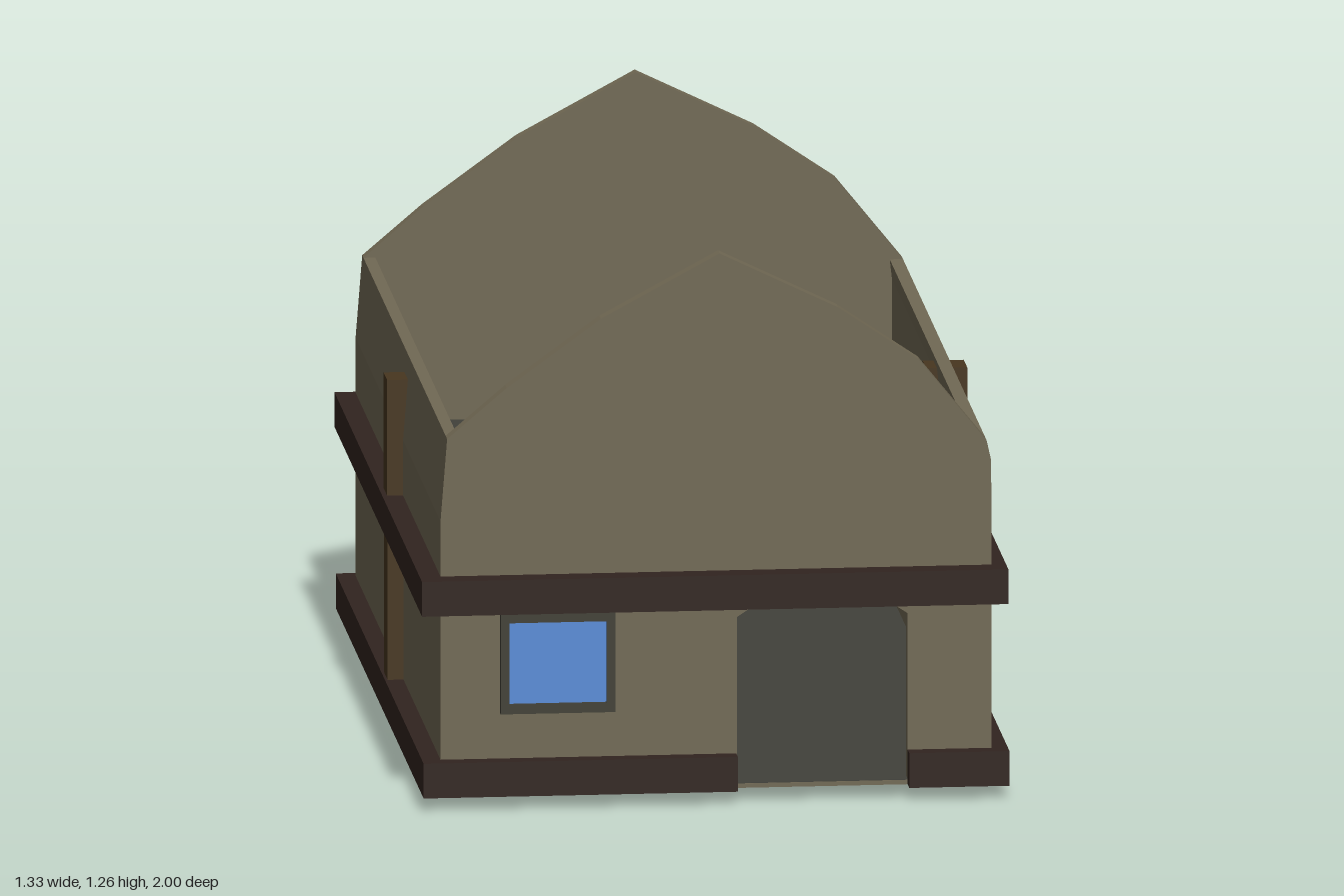
import * as THREE from 'three';

const mat = (color) => new THREE.MeshStandardMaterial({ color, flatShading: true });

export function createModel() {
  const house = new THREE.Group();
  const wallMat = mat(0x716954), beamMat = mat(0x31241f), postMat = mat(0x47361f);
  const floorMat = mat(0x41413a), frameMat = mat(0x403f35), glassMat = mat(0x5a8cd8);

  const add = (name, geo, material, parent = house) => {
    const mesh = new THREE.Mesh(geo, material);
    mesh.name = name;
    parent.add(mesh);
    return mesh;
  };
  // Box given by its limits on each axis
  const box = (name, material, x0, x1, y0, y1, z0, z1, parent) => {
    const mesh = add(name, new THREE.BoxGeometry(x1 - x0, y1 - y0, z1 - z0), material, parent);
    mesh.position.set((x0 + x1) / 2, (y0 + y1) / 2, (z0 + z1) / 2);
  };
  const points = (list) => list.map(([x, y]) => new THREE.Vector2(x, y));
  const slab = (name, material, outline, z0, z1, holes = []) => {
    const shape = new THREE.Shape(points(outline));
    holes.forEach((h) => shape.holes.push(new THREE.Path(points(h))));
    const geo = new THREE.ExtrudeGeometry(shape, { depth: z1 - z0, bevelEnabled: false });
    return add(name, geo.translate(0, 0, z0), material);
  };

  // Gable walls: one outline, with openings for door and windows
  const gable = [
    [-0.62, 0.03], [0.628, 0.03], [0.628, 0.65], [0.627, 0.775], [0.617, 0.82], [0.464, 1.01],
    [0.28, 1.135], [0.012, 1.265], [-0.257, 1.12], [-0.47, 0.965], [-0.605, 0.85], [-0.62, 0.66],
  ];
  const door = [[0.052, 0.04], [0.438, 0.04], [0.438, 0.425], [0.4, 0.45], [0.09, 0.45], [0.052, 0.425]];
  const rect = (x0, x1, y0, y1) => [[x0, y0], [x1, y0], [x1, y1], [x0, y1]];
  const paneHole = (x) => rect(x - 0.111, x + 0.111, 0.237, 0.425);
  const leftX = 0.363, rightX = -0.355;
  slab('frontWall', wallMat, gable, 0.912, 0.946, [door, paneHole(rightX)]);
  slab('backWall', wallMat, gable, -0.971, -0.943, [paneHole(leftX), paneHole(rightX)]);

  // Side walls lean in slightly at the top
  slab('leftWall', wallMat, [
    [0.592, 0.03], [0.628, 0.03], [0.628, 0.65], [0.627, 0.775], [0.617, 0.82], [0.587, 0.82], [0.592, 0.775],
  ], -0.943, 0.912);
  slab('rightWall', wallMat, [
    [-0.62, 0.03], [-0.588, 0.03], [-0.588, 0.66], [-0.578, 0.85], [-0.605, 0.85], [-0.62, 0.66],
  ], -0.943, 0.912);

  // Windows: frame around a pane that shows on both sides of the wall
  const windowAt = (name, x, z0, z1) => {
    const group = new THREE.Group();
    group.name = name;
    house.add(group);
    for (const s of [-1, 1]) {
      const a = x + s * 0.12;
      box('windowSideFrame', frameMat, a - 0.01, a + 0.01, 0.215, 0.447, z0, z1, group);
    }
    box('windowSill', frameMat, x - 0.11, x + 0.11, 0.215, 0.237, z0, z1, group);
    box('windowHead', frameMat, x - 0.11, x + 0.11, 0.425, 0.447, z0, z1, group);
    box('windowPane', glassMat, x - 0.11, x + 0.11, 0.237, 0.425, z0 + 0.01, z1 - 0.01, group);
  };
  windowAt('frontWindow', rightX, 0.9, 0.962);
  windowAt('backLeftWindow', leftX, -0.983, -0.93);
  windowAt('backRightWindow', rightX, -0.983, -0.93);

  // Floors, the upper one with a stair opening
  box('groundFloor', floorMat, -0.65, 0.65, 0.032, 0.042, -0.985, 0.944);
  const upper = slab('upperFloor', floorMat, rect(-0.6, 0.6, -0.92, 0.95), 0.445, 0.472, [
    [[-0.447, -0.06], [-0.043, -0.06], [-0.067, 0.838], [-0.447, 0.838]],
  ]);
  upper.rotation.x = -Math.PI / 2;

  // Beams around the outside; the lower one is broken by the doorway
  const band = (name, x0, x1, y0, y1, z0, z1, gap) => {
    const back = -0.96, front = 0.936, side = 0.61;
    box(name + 'Back', beamMat, x0, x1, y0, y1, z0, back);
    box(name + 'Left', beamMat, side, x1, y0, y1, back, front);
    box(name + 'Right', beamMat, x0, -side, y0, y1, back, front);
    const spans = gap ? [[x0, gap[0]], [gap[1], x1]] : [[x0, x1]];
    spans.forEach(([a, b]) => box(name + 'Front', beamMat, a, b, y0, y1, front, z1));
  };
  band('lowerBeam', -0.662, 0.665, 0.03, 0.11, -1, 0.985, [0.05, 0.438]);
  band('upperBeam', -0.667, 0.661, 0.453, 0.533, -0.98, 1);

  // Middle posts that pass through the side walls
  for (const s of [-1, 1]) {
    const side = s > 0 ? 'left' : 'right';
    const [a, b] = s > 0 ? [0.565, 0.658] : [-0.656, -0.565];
    box(side + 'LowerPost', postMat, a, b, 0.05, 0.5, 0.03, 0.11);
    box(side + 'UpperPost', postMat, a, b, 0.5, 0.8, 0.02, 0.1);
  }

  // Staircase climbing towards the front, its foot sunk through the floor
  const stairs = new THREE.Group();
  stairs.name = 'stairs';
  house.add(stairs);
  for (let i = 0; i < 14; i++) {
    const y = i * 0.034, z = -0.48 + i * 0.034;
    box('tread', wallMat, -0.46, -0.033, y, y + 0.016, z, z + 0.095, stairs);
    if (i < 13) box('riser', wallMat, -0.445, -0.048, y + 0.016, y + 0.034, z + 0.05, z + 0.085, stairs);
  }
  return house;
}
